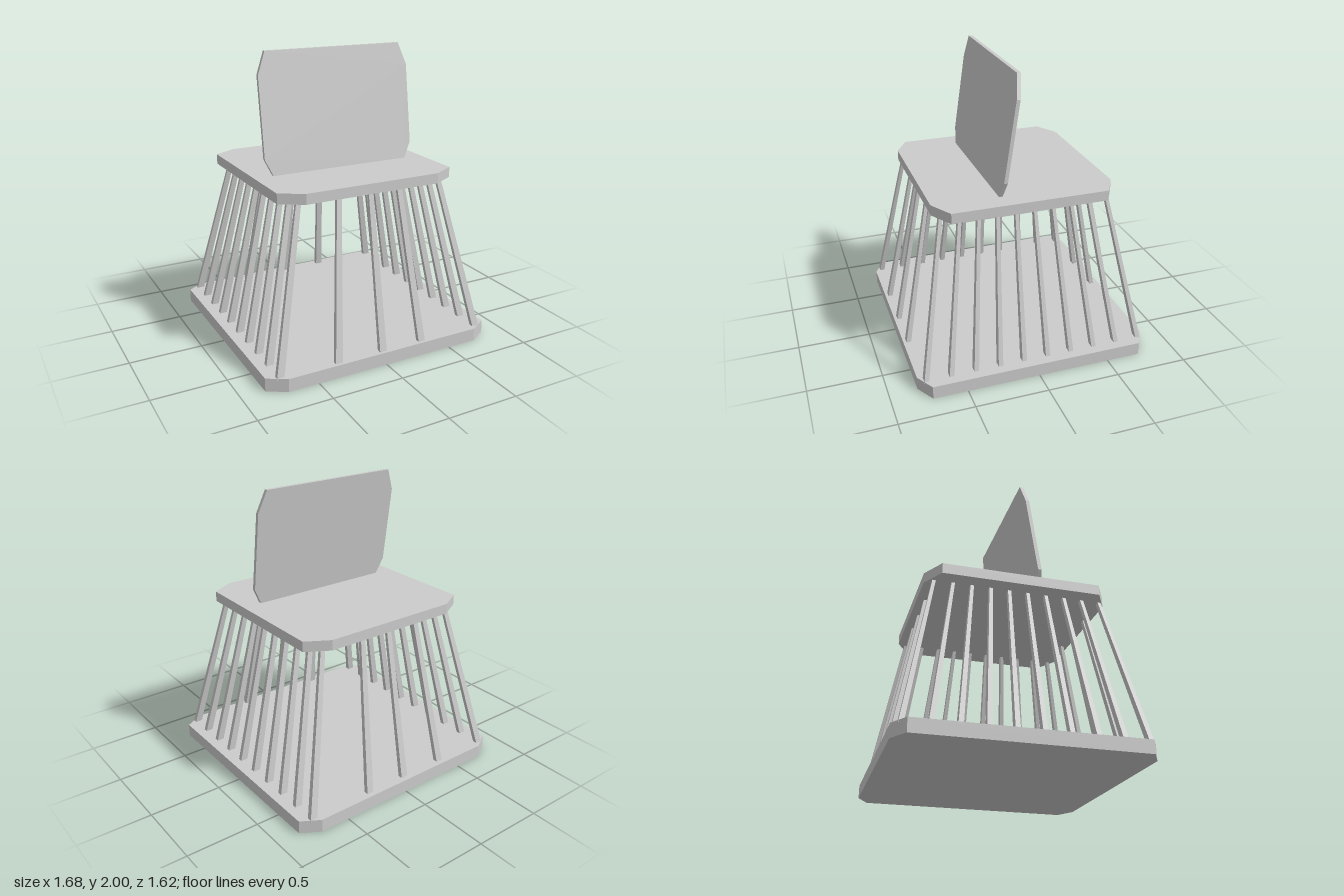
import * as THREE from 'three';

const material = new THREE.MeshStandardMaterial({ color: 0xcccccc, flatShading: true });

// Outline of a rectangle with its four corners cut off
function cutRect(w, h, innerW, innerH) {
  return new THREE.Shape([
    [innerW, -h], [w, -innerH], [w, innerH], [innerW, h],
    [-innerW, h], [-w, innerH], [-w, -innerH], [-innerW, -h],
  ].map(([x, y]) => new THREE.Vector2(x, y)));
}

// Flat horizontal slab
function slab(name, shape, y, height) {
  const geometry = new THREE.ExtrudeGeometry(shape, { depth: height, bevelEnabled: false });
  geometry.rotateX(-Math.PI / 2).translate(0, y, 0);
  const mesh = new THREE.Mesh(geometry, material);
  mesh.name = name;
  return mesh;
}

// Slanted bar with level ends, tapering from foot [x, z] to head [x, z]
function bar(name, foot, head) {
  const y0 = 0.08, y1 = 1.14;
  const geometry = new THREE.BoxGeometry(0.05, 1, 0.032);
  const p = geometry.attributes.position;
  for (let i = 0; i < p.count; i++) {
    const top = p.getY(i) > 0;
    const [cx, cz] = top ? head : foot;
    const s = top ? 0.7 : 1;
    p.setXYZ(i, cx + p.getX(i) * s, top ? y1 : y0, cz + p.getZ(i) * s);
  }
  geometry.computeVertexNormals();
  const mesh = new THREE.Mesh(geometry, material);
  mesh.name = name;
  return mesh;
}

export function createModel() {
  const model = new THREE.Group();
  model.name = 'chair';

  model.add(slab('basePlate', cutRect(0.838, 0.81, 0.71, 0.735), 0, 0.09));
  model.add(slab('seat', cutRect(0.643, 0.62, 0.485, 0.53), 1.13, 0.07));

  // Ten bars along each side, fanning inward to the seat
  const sideBars = new THREE.Group();
  sideBars.name = 'sideBars';
  for (const side of [-1, 1]) {
    for (let i = 0; i < 10; i++) {
      const t = i / 9;
      sideBars.add(bar('sideBar', [side * 0.75, THREE.MathUtils.lerp(-0.76, 0.76, t)],
        [side * 0.52, THREE.MathUtils.lerp(-0.56, 0.57, t)]));
    }
  }
  model.add(sideBars);

  // Three bars between the corners at the front and the back
  const endBars = new THREE.Group();
  endBars.name = 'frontAndBackBars';
  for (const [footZ, headZ] of [[0.775, 0.575], [-0.76, -0.56]]) {
    for (const [footX, headX] of [[-0.345, -0.24], [-0.015, -0.01], [0.288, 0.205]]) {
      endBars.add(bar('endBar', [footX, footZ], [headX, headZ]));
    }
  }
  model.add(endBars);

  // Leaning backrest panel, sheared backward as it rises
  const panel = new THREE.Shape([
    [0.505, 1.195], [0.56, 1.31], [0.56, 1.85], [0.502, 2],
    [-0.502, 2], [-0.56, 1.85], [-0.56, 1.31], [-0.505, 1.195],
  ].map(([x, y]) => new THREE.Vector2(x, y)));
  const geometry = new THREE.ExtrudeGeometry(panel, { depth: 0.025, bevelEnabled: false });
  const p = geometry.attributes.position;
  for (let i = 0; i < p.count; i++) {
    p.setZ(i, p.getZ(i) + 0.152 - (p.getY(i) - 1.2) * 0.146);
  }
  geometry.computeVertexNormals();
  const backrest = new THREE.Mesh(geometry, material);
  backrest.name = 'backrest';
  model.add(backrest);

  return model;
}
